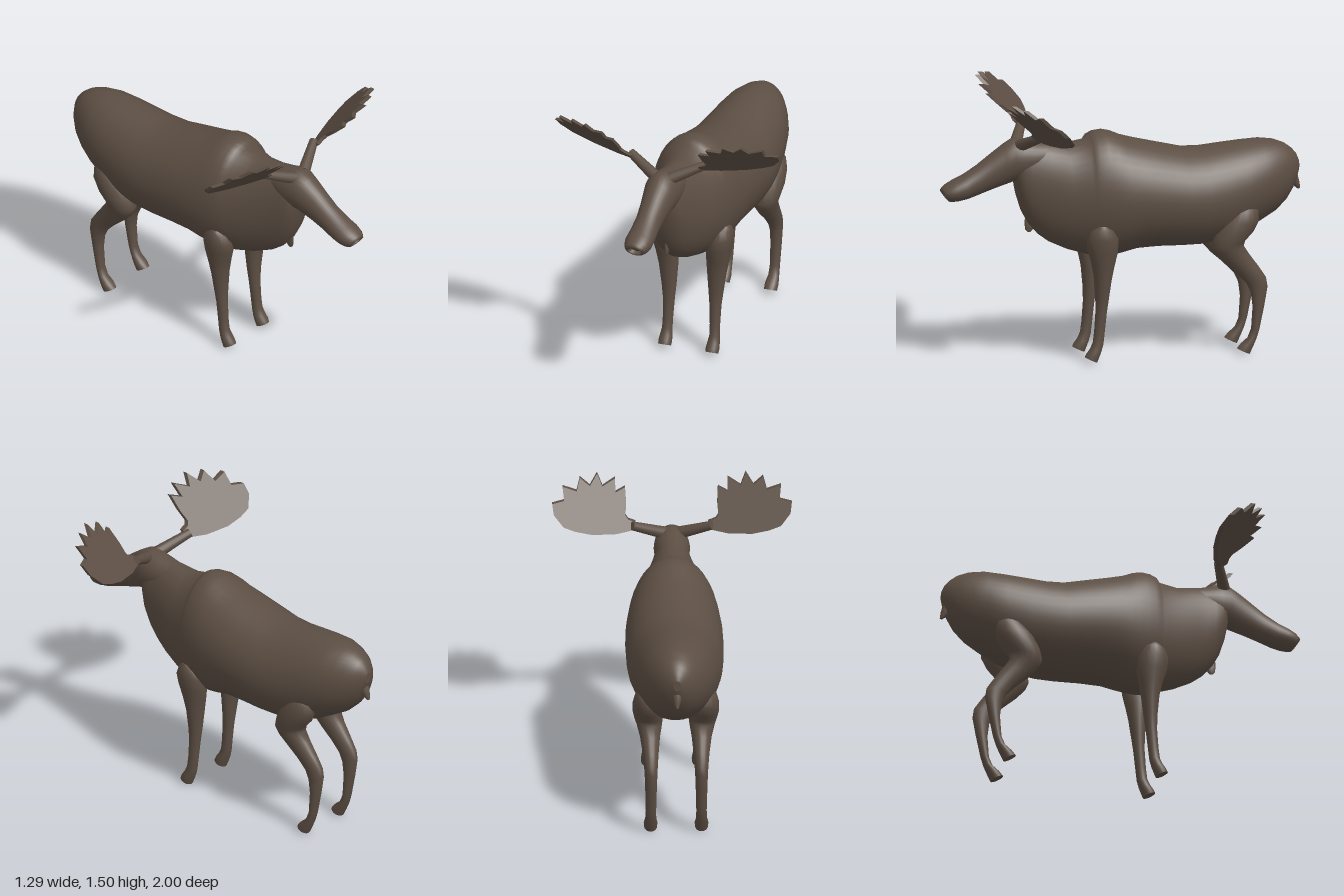
import * as THREE from 'three';

const fur = new THREE.MeshStandardMaterial({ color: 0x5c4e43 });
fur.name = 'brown fur';

// Skin through elliptical rings. Row: [z, y] of one edge, [z, y] of the opposite edge, half width, centre x
function loft(name, rows, segments = 28) {
  const pos = [], index = [];
  const ring = ([z1, y1, z2, y2, w, cx = 0]) => {
    const start = pos.length / 3;
    for (let j = 0; j < segments; j++) {
      const a = (j / segments) * Math.PI * 2, s = Math.sin(a) / 2;
      pos.push(cx + w * Math.cos(a), (y1 + y2) / 2 + s * (y1 - y2), (z1 + z2) / 2 + s * (z1 - z2));
    }
    return start;
  };
  const starts = rows.map(ring);
  for (let i = 0; i < starts.length - 1; i++) {
    for (let j = 0; j < segments; j++) {
      const k = (j + 1) % segments, p = starts[i], q = starts[i + 1];
      index.push(p + j, p + k, q + j, p + k, q + k, q + j);
    }
  }
  // flat end caps with their own vertices
  [[rows[0], false], [rows[rows.length - 1], true]].forEach(([row, end]) => {
    const s = ring(row), c = pos.length / 3;
    pos.push(row[5] ?? 0, (row[1] + row[3]) / 2, (row[0] + row[2]) / 2);
    for (let j = 0; j < segments; j++) {
      const k = (j + 1) % segments;
      if (end) index.push(c, s + j, s + k);
      else index.push(c, s + k, s + j);
    }
  });
  const g = new THREE.BufferGeometry();
  g.setAttribute('position', new THREE.Float32BufferAttribute(pos, 3));
  g.setIndex(index);
  g.computeVertexNormals();
  const mesh = new THREE.Mesh(g, fur);
  mesh.name = name;
  return mesh;
}

// Upright rings: [z, top, bottom, half width]
const upright = rows => rows.map(([z, top, bottom, w]) => [z, top, z, bottom, w]);

function makeBody() {
  return loft('body', upright([
    [-0.99, 1.03, 0.97, 0.02], [-0.975, 1.065, 0.92, 0.05], [-0.95, 1.095, 0.87, 0.085],
    [-0.91, 1.125, 0.81, 0.122], [-0.85, 1.148, 0.755, 0.158], [-0.77, 1.158, 0.71, 0.195],
    [-0.67, 1.153, 0.655, 0.22], [-0.55, 1.143, 0.61, 0.24], [-0.44, 1.132, 0.598, 0.255],
    [-0.34, 1.135, 0.597, 0.262], [-0.2, 1.168, 0.6, 0.265], [-0.08, 1.197, 0.595, 0.262],
    [0, 1.22, 0.575, 0.255], [0.05, 1.243, 0.565, 0.248], [0.1, 1.255, 0.56, 0.24],
    [0.15, 1.25, 0.565, 0.228], [0.18, 1.237, 0.572, 0.218], [0.2, 1.208, 0.578, 0.21],
    [0.3, 1.192, 0.608, 0.177], [0.4, 1.207, 0.655, 0.142], [0.46, 1.21, 0.7, 0.123],
    [0.51, 1.21, 0.755, 0.11], [0.55, 1.2, 0.83, 0.098], [0.575, 1.17, 0.91, 0.08],
    [0.592, 1.1, 0.99, 0.045],
  ]), 40);
}

function makeHead() {
  return loft('head', [
    [0.38, 1.2, 0.42, 1.04, 0.08], [0.48, 1.217, 0.5, 1.02, 0.095],
    [0.55, 1.235, 0.55, 1.0, 0.098], [0.6, 1.235, 0.6, 0.998, 0.093],
    [0.65, 1.205, 0.64, 0.985, 0.085], [0.72, 1.155, 0.7, 0.966, 0.075],
    [0.8, 1.095, 0.77, 0.942, 0.069], [0.88, 1.045, 0.85, 0.915, 0.074],
    [0.93, 1.022, 0.9, 0.906, 0.077], [0.97, 1.0, 0.935, 0.903, 0.068],
    [0.99, 0.983, 0.952, 0.905, 0.056], [1.0, 0.97, 0.96, 0.912, 0.046],
    // muzzle hollow
    [0.985, 0.964, 0.952, 0.916, 0.04], [0.96, 0.955, 0.935, 0.924, 0.028],
  ]);
}

// Leg rings run from top to hoof: front edge, back edge, half width, centre x
const frontLeg = [
  [0.17, 0.765, 0.12, 0.765, 0.03, 0.185], [0.205, 0.74, 0.08, 0.745, 0.055, 0.175],
  [0.226, 0.69, 0.053, 0.69, 0.07, 0.167], [0.223, 0.63, 0.055, 0.61, 0.068, 0.155],
  [0.2, 0.56, 0.072, 0.53, 0.062, 0.146], [0.183, 0.48, 0.085, 0.46, 0.053, 0.14],
  [0.173, 0.36, 0.1, 0.35, 0.041, 0.136], [0.172, 0.28, 0.11, 0.28, 0.033, 0.135],
  [0.18, 0.17, 0.122, 0.17, 0.028, 0.136], [0.188, 0.11, 0.13, 0.1, 0.028, 0.137],
  [0.205, 0.075, 0.142, 0.06, 0.034, 0.137], [0.222, 0.052, 0.154, 0.03, 0.037, 0.137],
  [0.231, 0.034, 0.165, 0.003, 0.035, 0.137],
];
const hindLeg = [
  [-0.63, 0.83, -0.69, 0.825, 0.03, 0.165], [-0.57, 0.795, -0.725, 0.805, 0.06, 0.16],
  [-0.52, 0.74, -0.73, 0.745, 0.078, 0.155], [-0.485, 0.67, -0.7, 0.685, 0.083, 0.15],
  [-0.47, 0.61, -0.655, 0.635, 0.077, 0.146], [-0.49, 0.565, -0.647, 0.605, 0.068, 0.142],
  [-0.54, 0.51, -0.68, 0.555, 0.054, 0.139], [-0.615, 0.445, -0.735, 0.48, 0.043, 0.137],
  [-0.667, 0.39, -0.775, 0.42, 0.037, 0.136], [-0.69, 0.34, -0.783, 0.37, 0.034, 0.136],
  [-0.701, 0.26, -0.765, 0.27, 0.031, 0.136], [-0.693, 0.14, -0.738, 0.14, 0.028, 0.136],
  [-0.672, 0.09, -0.722, 0.09, 0.03, 0.137], [-0.635, 0.06, -0.7, 0.04, 0.037, 0.137],
  [-0.614, 0.036, -0.682, 0.003, 0.035, 0.137],
];
const mirrorX = (rows, side) => rows.map(r => [...r.slice(0, 5), r[5] * side]);

// Broad toothed plate sheared onto a sloping plane, with a tapering stem
function makeAntler(side) {
  const group = new THREE.Group();
  group.name = side > 0 ? 'leftAntler' : 'rightAntler';
  const outline = [
    [0.2, 1.255], [0.3, 1.25], [0.43, 1.262], [0.52, 1.285], [0.585, 1.31], [0.637, 1.365],
    [0.645, 1.41], [0.58, 1.415], [0.588, 1.472], [0.512, 1.445], [0.493, 1.496], [0.44, 1.457],
    [0.4, 1.502], [0.372, 1.447], [0.303, 1.472], [0.302, 1.415], [0.25, 1.43], [0.245, 1.365],
    [0.25, 1.318], [0.235, 1.3], [0.195, 1.285],
  ].map(([x, y]) => new THREE.Vector2(x * side, y));
  const geo = new THREE.ExtrudeGeometry(new THREE.Shape(outline), { depth: 0.026, bevelEnabled: false });
  const p = geo.attributes.position;
  for (let i = 0; i < p.count; i++) {
    p.setZ(i, p.getZ(i) - 0.8 + 1.086 * p.getY(i) - 0.376 * Math.abs(p.getX(i)));
  }
  geo.computeVertexNormals();
  const palm = new THREE.Mesh(geo, fur);
  palm.name = 'antlerPalm';

  const from = new THREE.Vector3(0.04 * side, 1.2, 0.57), to = new THREE.Vector3(0.215 * side, 1.278, 0.492);
  const dir = to.clone().sub(from);
  const stem = new THREE.Mesh(new THREE.CylinderGeometry(0.024, 0.034, dir.length(), 14), fur);
  stem.name = 'antlerStem';
  stem.position.copy(from).addScaledVector(dir, 0.5);
  stem.quaternion.setFromUnitVectors(new THREE.Vector3(0, 1, 0), dir.normalize());
  group.add(palm, stem);
  return group;
}

export function createModel() {
  const model = new THREE.Group();
  model.name = 'antleredDeer';
  model.add(makeBody(), makeHead());
  for (const side of [1, -1]) {
    const label = side > 0 ? 'left' : 'right';
    model.add(loft(label + 'FrontLeg', mirrorX(frontLeg, side), 20));
    model.add(loft(label + 'HindLeg', mirrorX(hindLeg, side), 20));
    model.add(makeAntler(side));
  }
  // short drooping tail
  model.add(loft('tail', [
    [-0.9, 0.97, -0.965, 0.99, 0.035], [-0.925, 0.925, -0.985, 0.945, 0.03],
    [-0.955, 0.89, -0.995, 0.905, 0.02], [-0.985, 0.867, -1.0, 0.872, 0.008],
  ], 14));
  // small flap of skin under the throat
  model.add(loft('dewlap', [
    [0.53, 0.8, 0.46, 0.8, 0.008], [0.532, 0.755, 0.475, 0.75, 0.01],
    [0.528, 0.725, 0.49, 0.72, 0.008], [0.515, 0.712, 0.5, 0.712, 0.003],
  ], 12));
  return model;
}
